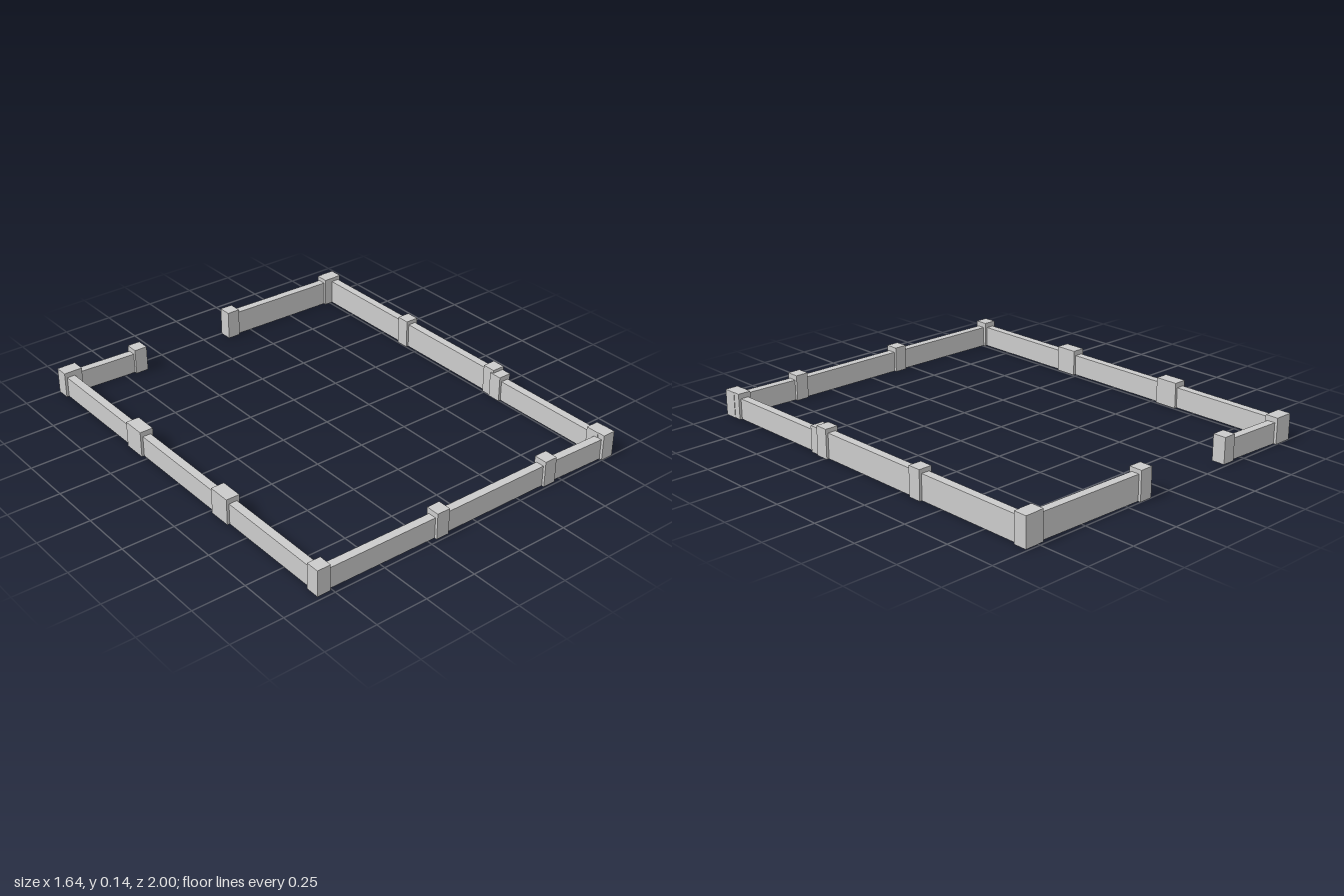
import * as THREE from 'three';

const POST = 0.065, WALL = 0.04;
const LOW = { wall: 0.1, post: 0.125 };
const HIGH = { wall: 0.12, post: 0.14 };

// Each run is one chain of [x, z] post positions joined by straight walls.
const runs = [
  { name: 'rightSideBack', size: LOW, points: [[-0.79, -0.967], [-0.79, -0.36]] },
  { name: 'rightSideMiddle', size: LOW, points: [[-0.79, -0.31], [-0.79, 0.3]] },
  { name: 'rightSideFront', size: LOW, points: [[-0.79, 0.345], [-0.79, 0.948]] },
  { name: 'frontSide', size: LOW, points: [[-0.79, 0.948], [-0.18, 0.955], [0.433, 0.957], [0.782, 0.967]] },
  { name: 'leftSideFront', size: LOW, points: [[0.778, 0.32], [0.78, 0.932]] },
  { name: 'leftSideBack', size: HIGH, points: [[0.784, -0.957], [0.784, -0.345], [0.784, 0.27]] },
  { name: 'backLeft', size: HIGH, points: [[0.143, -0.967], [0.753, -0.955]] },
  { name: 'backRight', size: LOW, points: [[-0.763, -0.967], [-0.413, -0.953]] },
];

export function createModel() {
  const model = new THREE.Group();
  model.name = 'wallEnclosure';
  const material = new THREE.MeshStandardMaterial({ color: 0xcccccc, flatShading: true });

  // Box standing on the ground
  const block = (name, w, h, d, x, z, parent) => {
    const mesh = new THREE.Mesh(new THREE.BoxGeometry(w, h, d), material);
    mesh.name = name;
    mesh.position.set(x, h / 2, z);
    parent.add(mesh);
    return mesh;
  };

  for (const { name, size, points } of runs) {
    const run = new THREE.Group();
    run.name = name;
    points.forEach(([x, z], i) => {
      block('post', POST, size.post, POST, x, z, run);
      if (i === 0) return;
      // Wall from the previous post to this one
      const [px, pz] = points[i - 1];
      const dx = x - px, dz = z - pz;
      const wall = block('wall', Math.hypot(dx, dz), size.wall, WALL, (x + px) / 2, (z + pz) / 2, run);
      wall.rotation.y = -Math.atan2(dz, dx);
    });
    model.add(run);
  }
  return model;
}
